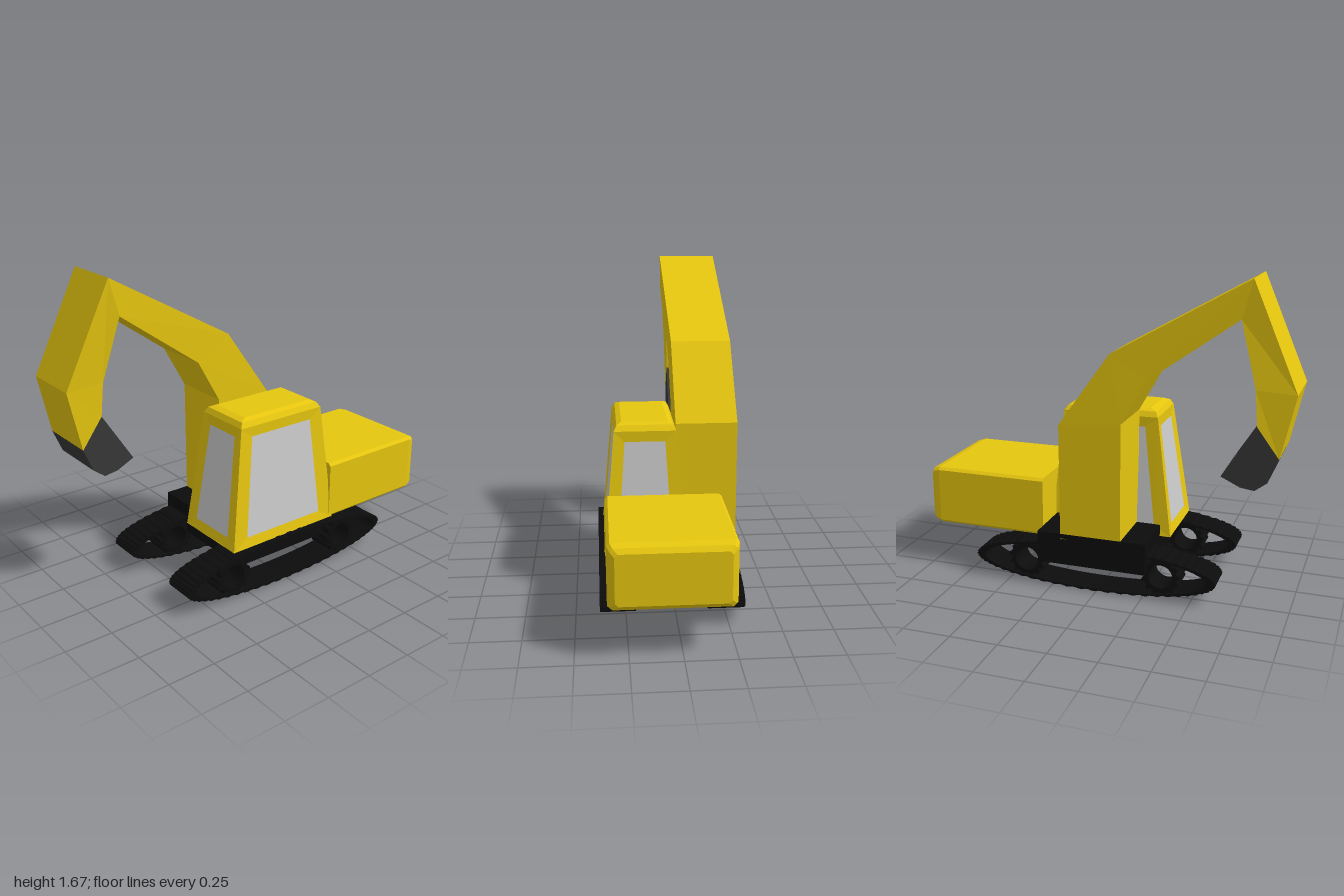
import * as THREE from 'three';

const mat = (color, side = THREE.FrontSide) =>
  new THREE.MeshStandardMaterial({ color, flatShading: true, side });
const yellow = mat(0xe6c60f);
const black = mat(0x0c0c0c);
const dark = mat(0x383838);
const glass = mat(0xcccccc, THREE.DoubleSide);
const frame = mat(0xe6c60f, THREE.DoubleSide);

function mesh(name, geometry, material) {
  const m = new THREE.Mesh(geometry, material);
  m.name = name;
  return m;
}

// Skin over convex rings of [x, y, z] points, optionally closed at both ends
function loft(rings, caps = true) {
  const tris = [];
  const n = rings[0].length;
  for (let i = 0; i < rings.length - 1; i++) {
    for (let j = 0; j < n; j++) {
      const k = (j + 1) % n;
      const [a, b, c, d] = [rings[i][j], rings[i][k], rings[i + 1][k], rings[i + 1][j]];
      tris.push([a, b, c], [a, c, d]);
    }
  }
  if (caps) {
    const first = rings[0], last = rings[rings.length - 1];
    for (let j = 1; j < n - 1; j++) {
      tris.push([first[0], first[j + 1], first[j]], [last[0], last[j], last[j + 1]]);
    }
  }
  // Turn the faces outward if the rings ran the other way round
  let volume = 0;
  for (const [a, b, c] of tris) {
    volume += new THREE.Vector3(...a).dot(new THREE.Vector3(...b).cross(new THREE.Vector3(...c)));
  }
  if (caps && volume < 0) tris.forEach((t) => t.reverse());
  const g = new THREE.BufferGeometry();
  g.setAttribute('position', new THREE.Float32BufferAttribute(tris.flat(2), 3));
  g.computeVertexNormals();
  return g;
}

// Side profile of [z, y] points pushed across from x1 down to x0
function sideExtrude(points, x0, x1, hole) {
  const shape = new THREE.Shape(points.map((p) => new THREE.Vector2(...p)));
  if (hole) shape.holes.push(new THREE.Path(hole.map((p) => new THREE.Vector2(...p))));
  const g = new THREE.ExtrudeGeometry(shape, { depth: x1 - x0, bevelEnabled: false });
  return g.rotateY(-Math.PI / 2).translate(x1, 0, 0);
}

// Toothed or plain ellipse outline; each tooth takes four points
function ellipse(cz, cy, rz, ry, teeth, depth) {
  const pts = [];
  for (let i = 0; i < teeth * 4; i++) {
    const a = (i / (teeth * 4)) * Math.PI * 2;
    const d = i % 4 < 2 ? 0 : depth;
    pts.push([cz + Math.cos(a) * (rz - d), cy + Math.sin(a) * (ry - d)]);
  }
  return pts;
}

function createTrack(x0, x1) {
  const track = new THREE.Group();
  track.name = 'track';
  const belt = sideExtrude(ellipse(-0.025, 0.128, 0.66, 0.126, 56, 0.005), x0, x1,
    ellipse(-0.025, 0.128, 0.615, 0.113, 16, 0));
  track.add(mesh('trackBelt', belt, black));
  for (const z of [0.345, -0.395]) {
    const gear = sideExtrude(ellipse(z, 0.13, 0.104, 0.104, 13, 0.016), x0 + 0.01, x1 - 0.01,
      ellipse(z, 0.13, 0.065, 0.065, 8, 0));
    track.add(mesh('driveSprocket', gear, black));
  }
  return track;
}

function createCab() {
  const cab = new THREE.Group();
  cab.name = 'cab';
  const rect = (x0, x1, z0, z1, y) => [[x0, y, z0], [x1, y, z0], [x1, y, z1], [x0, y, z1]];
  const bottom = rect(-0.07, 0.35, -0.345, 0.33, 0.25);
  const top = rect(-0.02, 0.295, -0.285, 0.24, 0.89);

  // Four walls, each a window set a little into a bevelled frame
  const lerp = (a, b, t) => a.map((v, i) => v + (b[i] - v) * t);
  for (let i = 0; i < 4; i++) {
    const k = (i + 1) % 4;
    const outer = [bottom[i], bottom[k], top[k], top[i]];
    const left = (t) => lerp(bottom[i], top[i], t);
    const right = (t) => lerp(bottom[k], top[k], t);
    const inward = [[0, 0, 1], [-1, 0, 0], [0, 0, -1], [1, 0, 0]][i];
    const side = i % 2 ? 0.13 : 0.165;
    const pane = [[0.085, side], [0.085, 1 - side], [0.915, 1 - side * 1.1], [0.915, side * 1.1]]
      .map(([v, u]) => lerp(left(v), right(v), u).map((c, a) => c + inward[a] * 0.006));
    cab.add(mesh('windowFrame', loft([outer, pane], false), frame));
    cab.add(mesh('window', loft([pane, pane.map((p) => p.map((c, a) => c + inward[a] * 0.004))]), glass));
  }

  // Bevelled roof and floor
  cab.add(mesh('roof', loft([
    top,
    rect(-0.005, 0.28, -0.265, 0.225, 0.918),
    rect(0.02, 0.255, -0.235, 0.19, 0.93),
  ]), yellow));
  cab.add(mesh('cabFloor', loft([bottom, rect(-0.07, 0.35, -0.345, 0.33, 0.252)]), yellow));
  return cab;
}

function createEngineHousing() {
  // Chamfered rectangle at depth z, shrunk by inset
  const ring = (z, inset) => {
    const x0 = -0.25 + inset, x1 = 0.347 - inset, y0 = 0.245 + inset, y1 = 0.565 - inset, c = 0.015;
    return [[x0 + c, y0, z], [x1 - c, y0, z], [x1, y0 + c, z], [x1, y1 - c, z],
      [x1 - c, y1, z], [x0 + c, y1, z], [x0, y1 - c, z], [x0, y0 + c, z]];
  };
  return mesh('engineHousing',
    loft([ring(-0.325, 0), ring(-0.94, 0), ring(-0.98, 0.012), ring(-0.998, 0.035)]), yellow);
}

function createArm() {
  const arm = new THREE.Group();
  arm.name = 'diggingArm';

  // Each station: outer z, y, inner z, y, then the x range
  const stations = [
    [-0.19, 0.28, 0.14, 0.28, -0.345, -0.03],
    [-0.19, 0.9, 0.14, 0.93, -0.345, -0.025],
    [0.08, 1.28, 0.27, 1.16, -0.338, -0.022],
    [0.77, 1.67, 0.72, 1.48, -0.325, -0.01],
    [1.0, 1.15, 0.805, 1.16, -0.365, -0.05],
    [0.93, 0.84, 0.82, 0.99, -0.378, -0.055],
  ];
  const rings = stations.map(([oz, oy, iz, iy, x0, x1]) =>
    [[x0, oy, oz], [x1, oy, oz], [x1, iy, iz], [x0, iy, iz]]);
  arm.add(mesh('boomColumn', loft(rings.slice(0, 2)), yellow));
  arm.add(mesh('boom', loft(rings.slice(1, 4)), yellow));
  arm.add(mesh('stick', loft(rings.slice(3)), yellow));

  // Scoop: a curved shell closed by two cheek plates, open toward the machine
  const outer = [[0.82, 0.99], [0.93, 0.84], [0.88, 0.72], [0.82, 0.675], [0.75, 0.685], [0.655, 0.73]];
  const inner = [[0.803, 0.963], [0.9, 0.838], [0.86, 0.738], [0.815, 0.7], [0.757, 0.708], [0.672, 0.757]];
  const x0 = -0.38, x1 = -0.055, t = 0.025;
  arm.add(mesh('bucketShell', sideExtrude([...outer, ...inner.reverse()], x0 + t, x1 - t), dark));
  for (const x of [x0, x1 - t]) {
    arm.add(mesh('bucketCheek', sideExtrude(outer, x, x + t), dark));
  }
  return arm;
}

export function createModel() {
  const model = new THREE.Group();
  model.name = 'excavator';

  // Undercarriage
  const base = new THREE.BoxGeometry(0.665, 0.17, 0.59).translate(-0.0125, 0.225, -0.023);
  model.add(mesh('chassis', base, black));
  model.add(createTrack(-0.325, -0.15), createTrack(0.205, 0.38));

  // Upper works
  model.add(createCab(), createEngineHousing(), createArm());
  return model;
}
